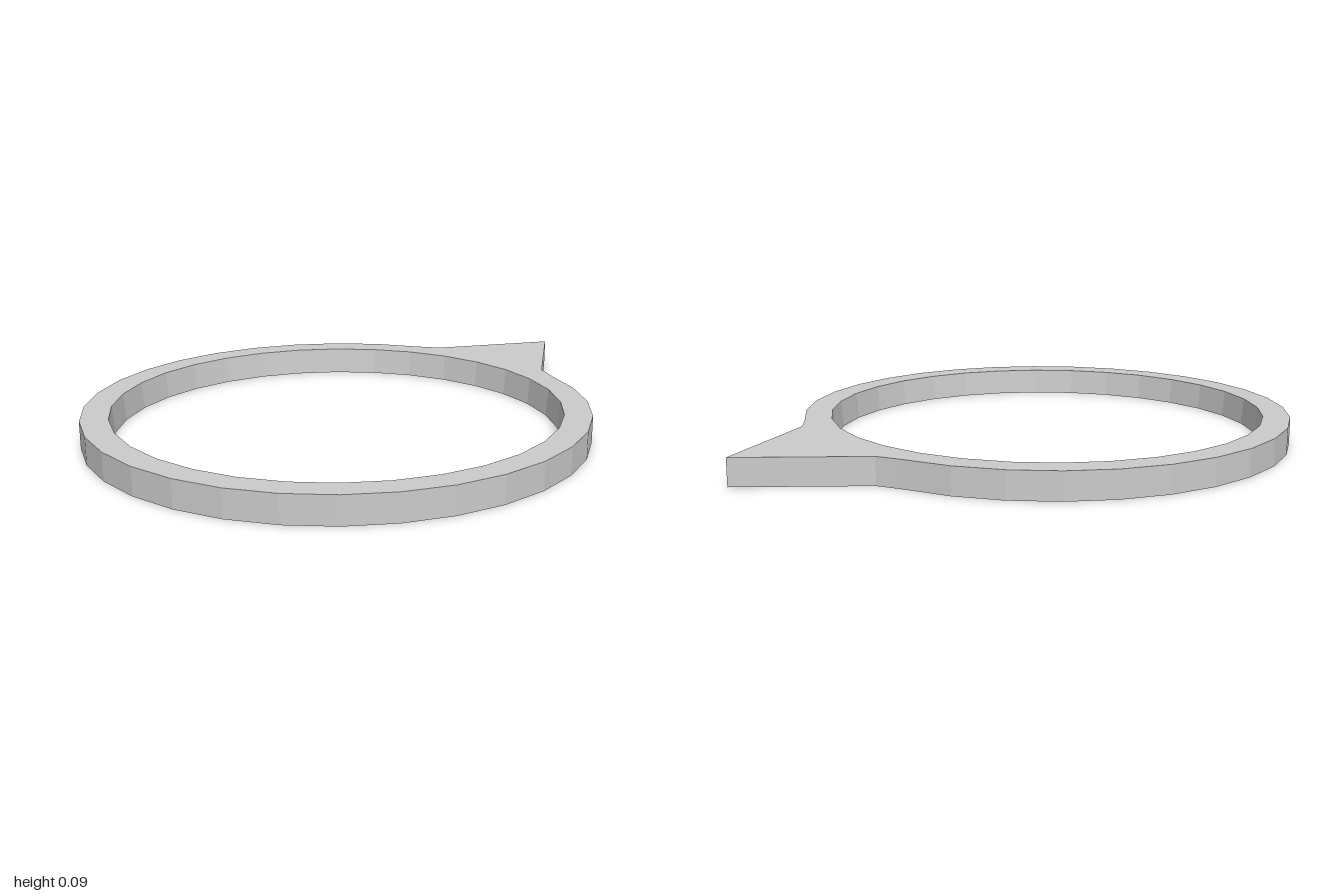
import * as THREE from 'three';

const HEIGHT = 0.09;
const CENTER_Z = 0.17;
const SEGMENTS = 32;

// Plan points use (x, -z), counter-clockwise seen from above.
function ringPoint(radius, i) {
  const a = Math.PI / 2 + (i / SEGMENTS) * Math.PI * 2;
  return new THREE.Vector2(radius * Math.cos(a), radius * Math.sin(a) - CENTER_Z);
}

function ringLoop(radius) {
  return Array.from({ length: SEGMENTS }, (_, i) => ringPoint(radius, i));
}

// Wall between a lower and an upper loop with matching points
function wallGeometry(lower, upper) {
  const positions = [];
  lower.forEach((a, i) => {
    const j = (i + 1) % lower.length;
    const b = lower[j], c = upper[j], d = upper[i];
    positions.push(a.x, 0, -a.y, b.x, 0, -b.y, c.x, HEIGHT, -c.y);
    positions.push(a.x, 0, -a.y, c.x, HEIGHT, -c.y, d.x, HEIGHT, -d.y);
  });
  const geometry = new THREE.BufferGeometry();
  geometry.setAttribute('position', new THREE.Float32BufferAttribute(positions, 3));
  geometry.computeVertexNormals();
  return geometry;
}

export function createModel() {
  const group = new THREE.Group();
  group.name = 'pointedRing';
  const material = new THREE.MeshStandardMaterial({
    color: 0xcccccc, flatShading: true, side: THREE.DoubleSide,
  });
  const add = (name, geometry) => {
    const mesh = new THREE.Mesh(geometry, material);
    mesh.name = name;
    group.add(mesh);
  };

  // Outline: round band with a triangular point at the back
  const outline = [new THREE.Vector2(0, 1), new THREE.Vector2(-0.24, 0.638)];
  for (let i = 2; i <= SEGMENTS - 2; i++) outline.push(ringPoint(0.825, i));
  outline.push(new THREE.Vector2(0.24, 0.638));

  // Opening narrows slightly towards the bottom
  const innerTop = ringLoop(0.735);
  const innerBottom = ringLoop(0.727);

  // Top plate; the underside stays open
  const shape = new THREE.Shape(outline);
  shape.holes.push(new THREE.Path(innerTop));
  const top = new THREE.ShapeGeometry(shape);
  top.rotateX(-Math.PI / 2);
  top.translate(0, HEIGHT, 0);

  add('topPlate', top);
  add('outerWall', wallGeometry(outline, outline));
  add('innerWall', wallGeometry(innerBottom.reverse(), innerTop.slice().reverse()));
  return group;
}
